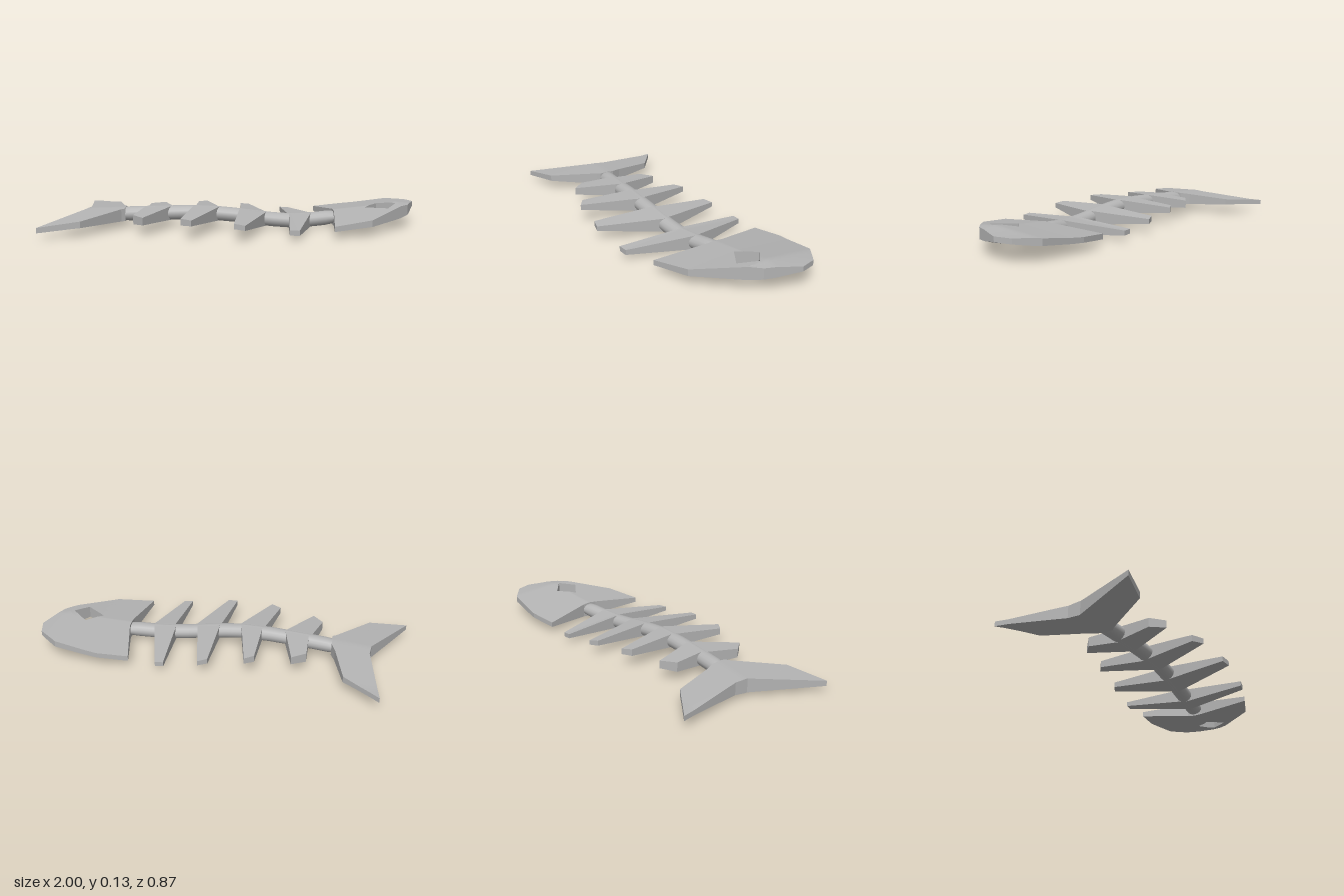
import * as THREE from 'three';
import { mergeVertices, mergeGeometries } from 'three/addons/utils/BufferGeometryUtils.js';

// Piecewise lookup with eased blending between [x, value] pairs
function lookup(table, x) {
  if (x <= table[0][0]) return table[0][1];
  for (let i = 1; i < table.length; i++) {
    const [x0, v0] = table[i - 1], [x1, v1] = table[i];
    if (x <= x1) return v0 + (v1 - v0) * (x - x0) / (x1 - x0);
  }
  return table[table.length - 1][1];
}

// Wavy height of the body's middle plane, and the backbone's sideways curve
const HEIGHT = [[-1, 0.045], [-0.8, 0.064], [-0.5, 0.078], [-0.25, 0.087], [-0.1, 0.084], [0, 0.075],
  [0.2, 0.05], [0.3, 0.042], [0.4, 0.044], [0.5, 0.052], [0.7, 0.07], [0.88, 0.093], [1, 0.105]];
const AXIS = [[-0.8, -0.01], [-0.62, 0.015], [-0.4, 0.045], [-0.1, 0.076], [0.1, 0.082], [0.3, 0.076], [0.54, 0.045], [1, 0.02]];
const height = (x) => lookup(HEIGHT, x);
const axis = (x) => lookup(AXIS, x);
const SPLITS = 4;

function fromTriangles(flat) {
  const g = new THREE.BufferGeometry();
  g.setAttribute('position', new THREE.Float32BufferAttribute(flat, 3));
  return g;
}

// Plate cut to an outline in (x, z), curved and tapered by the half-thickness rule
function plate(outline, half, hole) {
  const toVecs = (list) => list.map(([x, z]) => new THREE.Vector2(x, z));
  const contour = toVecs(outline);
  if (THREE.ShapeUtils.area(contour) < 0) contour.reverse();
  const holes = [];
  if (hole) {
    const h = toVecs(hole);
    if (THREE.ShapeUtils.area(h) > 0) h.reverse();
    holes.push(h);
  }
  const points = [contour, ...holes].flat();
  let tris = THREE.ShapeUtils.triangulateShape(contour, holes).map((f) => f.map((i) => points[i]));
  const mid = (a, b) => a.clone().add(b).multiplyScalar(0.5);
  for (let s = 0; s < SPLITS; s++) {
    tris = tris.flatMap(([a, b, c]) => {
      const ab = mid(a, b), bc = mid(b, c), ca = mid(c, a);
      return [[a, ab, ca], [ab, b, bc], [ca, bc, c], [ab, bc, ca]];
    });
  }
  const at = (p, side) => [p.x, height(p.x) + side * half(p.x, p.y), p.y];

  const top = [], bottom = [], wall = [];
  for (const t of tris) {
    const [a, b, c] = THREE.ShapeUtils.area(t) > 0 ? [t[0], t[2], t[1]] : t;
    top.push(...at(a, 1), ...at(b, 1), ...at(c, 1));
    bottom.push(...at(a, -1), ...at(c, -1), ...at(b, -1));
  }
  // Rim around the outline and the hole
  const n = 2 ** SPLITS;
  for (const loop of [contour, ...holes]) {
    loop.forEach((p, i) => {
      const q = loop[(i + 1) % loop.length];
      for (let k = 0; k < n; k++) {
        const a = p.clone().lerp(q, k / n), b = p.clone().lerp(q, (k + 1) / n);
        wall.push(...at(a, 1), ...at(b, 1), ...at(b, -1), ...at(a, 1), ...at(b, -1), ...at(a, -1));
      }
    });
  }
  const skins = [top, bottom].map((list) => {
    const g = mergeVertices(fromTriangles(list), 1e-5);
    g.computeVertexNormals();
    return g;
  });
  const rim = fromTriangles(wall);
  rim.computeVertexNormals();
  return mergeGeometries([...skins, mergeVertices(rim)]);
}

// Thick along the backbone, thinning outward
const taper = (thick, thin, reach) => (x, z) => {
  const t = Math.min(1, Math.abs(z - axis(x)) / reach);
  return thick + (thin - thick) * t;
};

export function createModel() {
  const model = new THREE.Group();
  const bone = new THREE.MeshStandardMaterial({ color: 0xb4b4b4 });
  bone.name = 'bone grey';
  const add = (name, geometry) => {
    const mesh = new THREE.Mesh(geometry, bone);
    mesh.name = name;
    model.add(mesh);
  };

  // Backbone: a cylinder bent along the wave
  let spine = new THREE.CylinderGeometry(1, 1, 1.24, 16, 40, true).rotateZ(Math.PI / 2).translate(-0.04, 0, 0);
  spine.deleteAttribute('uv');
  spine.deleteAttribute('normal');
  spine = mergeVertices(spine, 1e-4);
  const p = spine.attributes.position;
  for (let i = 0; i < p.count; i++) {
    const x = p.getX(i);
    const end = Math.min(1, 0.6 + 5 * Math.min(x + 0.66, 0.58 - x));
    p.setXYZ(i, x, height(x) + p.getY(i) * 0.039 * end, axis(x) + p.getZ(i) * 0.044);
  }
  spine.computeVertexNormals();
  add('backbone', spine);

  // Ribs: root start x, root end x, then the two tip corners
  const ribs = [
    [-0.465, -0.335, [-0.39, -0.19], [-0.465, -0.14]],
    [-0.21, -0.09, [-0.15, -0.24], [-0.2, -0.21]],
    [0.03, 0.16, [0.09, -0.27], [0.04, -0.25]],
    [0.28, 0.405, [0.315, -0.28], [0.27, -0.28]],
    [-0.48, -0.335, [-0.475, 0.29], [-0.53, 0.22]],
    [-0.22, -0.08, [-0.225, 0.385], [-0.28, 0.345]],
    [0.025, 0.17, [0.04, 0.43], [-0.015, 0.415]],
    [0.29, 0.41, [0.31, 0.42], [0.26, 0.425]],
  ];
  ribs.forEach(([x0, x1, tipA, tipB]) => {
    const side = tipA[1] > 0 ? 'front' : 'back';
    add(side + 'Rib', plate([[x0, axis(x0)], [x1, axis(x1)], tipA, tipB], taper(0.038, 0.012, 0.36)));
  });

  // Forked tail fin
  add('tailFin', plate([[-0.59, -0.025], [-0.61, -0.08], [-0.66, -0.3], [-0.84, -0.44], [-0.79, -0.07], [-0.8, 0],
    [-1, 0.34], [-0.79, 0.295], [-0.61, 0.075], [-0.59, 0.06]], taper(0.037, 0.013, 0.36)));

  // Head with a diamond eye hole, thinning toward the nose
  const headTaper = taper(0.042, 0.012, 0.34);
  const headHalf = (x, z) => headTaper(x, z) * (1 - 0.6 * Math.max(0, (x - 0.88) / 0.12));
  add('head', plate([[0.53, 0.005], [0.465, -0.265], [0.63, -0.285], [0.87, -0.255], [0.975, -0.175], [1, -0.09],
    [0.93, 0.08], [0.69, 0.32], [0.49, 0.375], [0.53, 0.09]], headHalf,
  [[0.78, -0.02], [0.87, 0.055], [0.81, 0.14], [0.7, 0.065]]));

  return model;
}
